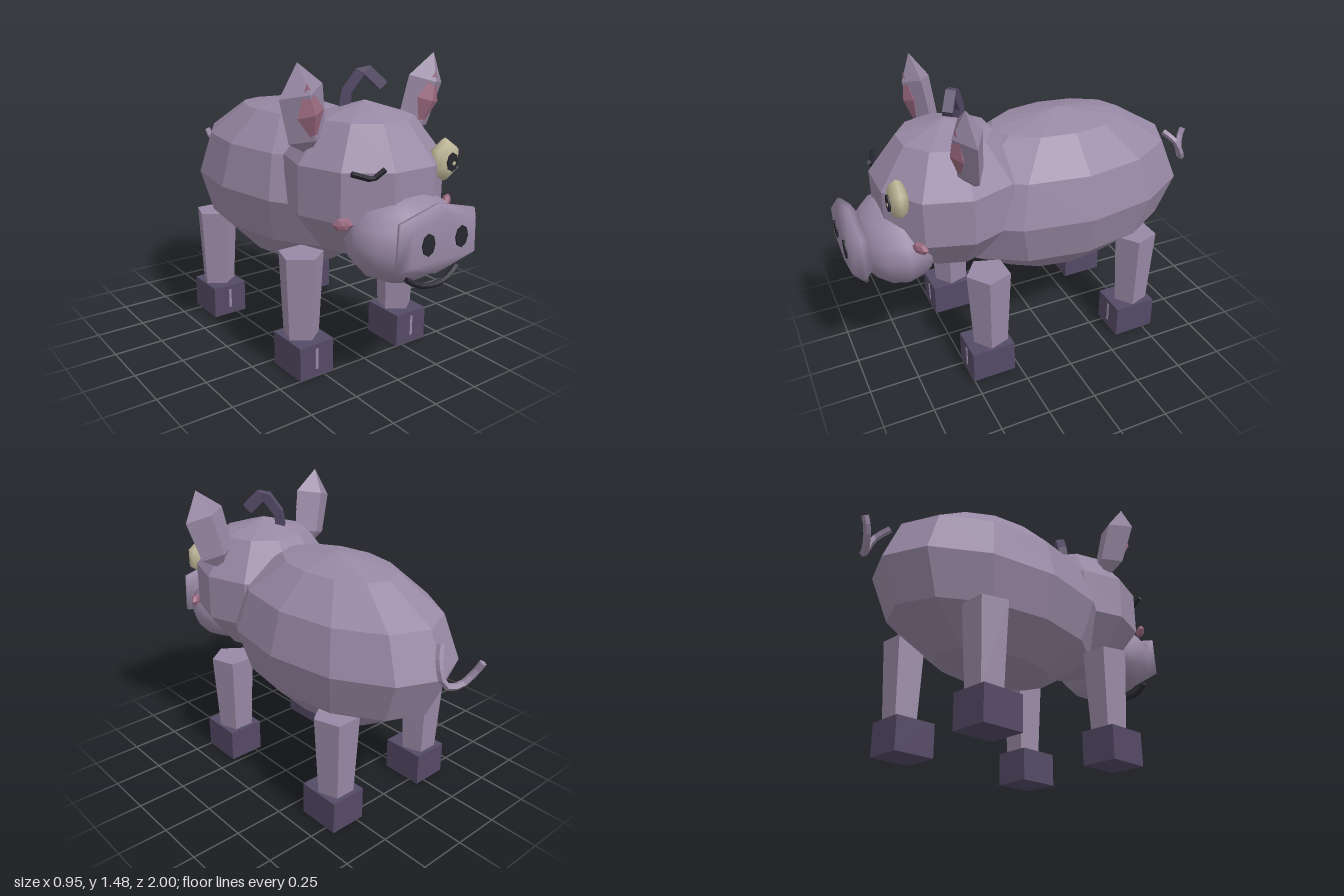
import * as THREE from 'three';
import { mergeVertices } from 'three/addons/utils/BufferGeometryUtils.js';

const paint = (name, hex) => {
  const m = new THREE.MeshStandardMaterial({ color: hex });
  m.name = name;
  return m;
};

// Faceted normals baked into the geometry
function flat(geo) {
  const g = geo.index ? geo.toNonIndexed() : geo;
  g.computeVertexNormals();
  return g;
}

// Smooth normals across every edge
function smooth(geo) {
  geo.deleteAttribute('uv');
  geo.deleteAttribute('normal');
  const g = mergeVertices(geo, 1e-4);
  g.computeVertexNormals();
  return g;
}

const ball = (rx, ry, rz, w, h) => new THREE.SphereGeometry(1, w, h).scale(rx, ry, rz);

// Ball with its poles facing front and back and a corner at the top
const facingBall = (rx, ry, rz, w, h, turn = 0) =>
  new THREE.SphereGeometry(1, w, h).rotateY(turn).rotateX(Math.PI / 2).scale(rx, ry, rz);

// Thin oval plate facing the front
const plate = (rx, ry, sides) =>
  new THREE.CylinderGeometry(1, 1, 0.008, sides).rotateX(Math.PI / 2).scale(rx, ry, 1);

// Polyline or curved rod with closed ends
function rod(points, radius, sides, steps, curved = true) {
  const v = points.map(p => new THREE.Vector3(...p));
  let path;
  if (curved) path = new THREE.CatmullRomCurve3(v);
  else {
    path = new THREE.CurvePath();
    for (let i = 1; i < v.length; i++) path.add(new THREE.LineCurve3(v[i - 1], v[i]));
  }
  const tube = new THREE.TubeGeometry(path, steps, radius, sides, false);
  // Pinch the two end rings shut by adding a fan to each
  const idx = Array.from(tube.index.array);
  const last = steps * (sides + 1);
  for (let i = 1; i < sides - 1; i++) {
    idx.push(0, i, i + 1, last, last + i + 1, last + i);
  }
  tube.setIndex(idx);
  return flat(tube);
}

export function createModel() {
  const skin = paint('mauve skin', 0x9888a4);
  const hoofColor = paint('dark purple hoof', 0x544a66);
  const pink = paint('dusky pink', 0x9c6a80);
  const cream = paint('cream eye', 0xbfb798);
  const black = paint('black features', 0x27262f);

  const model = new THREE.Group();
  model.name = 'pig';
  const add = (name, geo, mat, x = 0, y = 0, z = 0) => {
    const m = new THREE.Mesh(geo, mat);
    m.name = name;
    m.position.set(x, y, z);
    model.add(m);
    return m;
  };

  // Body and head
  const cx = 0.008;
  add('body', flat(ball(0.43, 0.43, 0.70, 12, 6)), skin, cx, 0.81, -0.14);
  add('head', flat(ball(0.39, 0.37, 0.39, 10, 5)), skin, cx, 0.92, 0.45);

  // Snout with a bevelled hexagonal pad
  add('snout', ball(0.29, 0.21, 0.21, 12, 8), skin, cx, 0.72, 0.735);
  const pad = new THREE.Shape([
    [0, 0.12], [-0.18, 0.075], [-0.185, -0.08], [0, -0.12], [0.185, -0.08], [0.18, 0.075],
  ].map(p => new THREE.Vector2(...p)));
  const padGeo = new THREE.ExtrudeGeometry(pad, {
    depth: 0.015, bevelThickness: 0.04, bevelSize: 0.035, bevelSegments: 1, steps: 1,
  });
  add('snoutPad', smooth(padGeo), skin, cx, 0.765, 0.937);
  for (const s of [-1, 1]) {
    add('nostril', plate(0.036, 0.05, 8), black, cx + s * 0.096, 0.77, 0.994);
  }

  // Mouth
  add('mouth', rod([[-0.14, 0.605, 0.925], [-0.08, 0.57, 0.94], [cx, 0.557, 0.945],
    [0.09, 0.57, 0.94], [0.155, 0.605, 0.925]], 0.014, 5, 8), black);

  // Open left eye and winking right eye
  add('eye', facingBall(0.085, 0.1, 0.046, 6, 6, Math.PI / 6), cream, 0.225, 1.04, 0.755);
  add('pupil', plate(0.033, 0.043, 8), black, 0.231, 1.035, 0.8);
  add('eyeHighlight', plate(0.01, 0.01, 6), cream, 0.236, 1.03, 0.803);
  add('wink', rod([[-0.29, 1.045, 0.735], [-0.2, 1.013, 0.765], [-0.15, 1.055, 0.785]],
    0.013, 4, 6, false), black);

  // Cheeks and ears, mirrored
  for (const s of [-1, 1]) {
    const cheek = add('cheek', flat(facingBall(0.046, 0.032, 0.02, 6, 4)), pink,
      cx + s * 0.308, 0.816, 0.695);
    cheek.rotation.y = s * 0.6;

    const ear = new THREE.Group();
    ear.name = s > 0 ? 'leftEar' : 'rightEar';
    ear.position.set(cx + s * 0.29, 1.065, 0.43);
    ear.rotation.set(0.12, 0, -s * 0.24);
    const profile = [[0, 0], [0.1, 0.09], [0.114, 0.305], [0, 0.435]]
      .map(p => new THREE.Vector2(...p));
    const shell = new THREE.Mesh(
      flat(new THREE.LatheGeometry(profile, 4).scale(1, 1, 0.62)), skin);
    shell.name = 'earShell';
    const inner = new THREE.Mesh(
      flat(new THREE.OctahedronGeometry(1).scale(0.07, 0.14, 0.035)), pink);
    inner.name = 'innerEar';
    inner.position.set(0, 0.215, 0.052);
    ear.add(shell, inner);
    model.add(ear);
  }

  // Hair tuft
  add('tuft', rod([[-0.04, 1.25, 0.365], [-0.03, 1.32, 0.365], [0.032, 1.43, 0.41],
    [0.105, 1.345, 0.46]], 0.034, 4, 9, false), hoofColor);

  // Curly tail
  add('tail', rod([[0.01, 0.97, -0.805], [0.07, 0.925, -0.85], [0.075, 0.83, -0.895],
    [0.01, 0.82, -0.925], [-0.045, 0.88, -0.96], [-0.058, 0.93, -0.985]],
    0.018, 5, 10), skin);

  // Legs, hooves and the stripe on each hoof
  for (const s of [-1, 1]) {
    for (const [end, z] of [['front', 0.39], ['back', -0.443]]) {
      const x = cx + s * 0.3;
      const legZ = end === 'front' ? 0.37 : -0.46;
      add(end + 'Leg', flat(new THREE.CylinderGeometry(0.113, 0.09, 0.425, 5)), skin,
        x, 0.3725, legZ);
      add(end + 'Hoof', new THREE.BoxGeometry(0.192, 0.17, 0.224), hoofColor, x, 0.085, z);
      add(end + 'HoofStripe', new THREE.BoxGeometry(0.015, 0.105, 0.006), skin,
        x, 0.093, z + 0.1125);
    }
  }

  return model;
}
